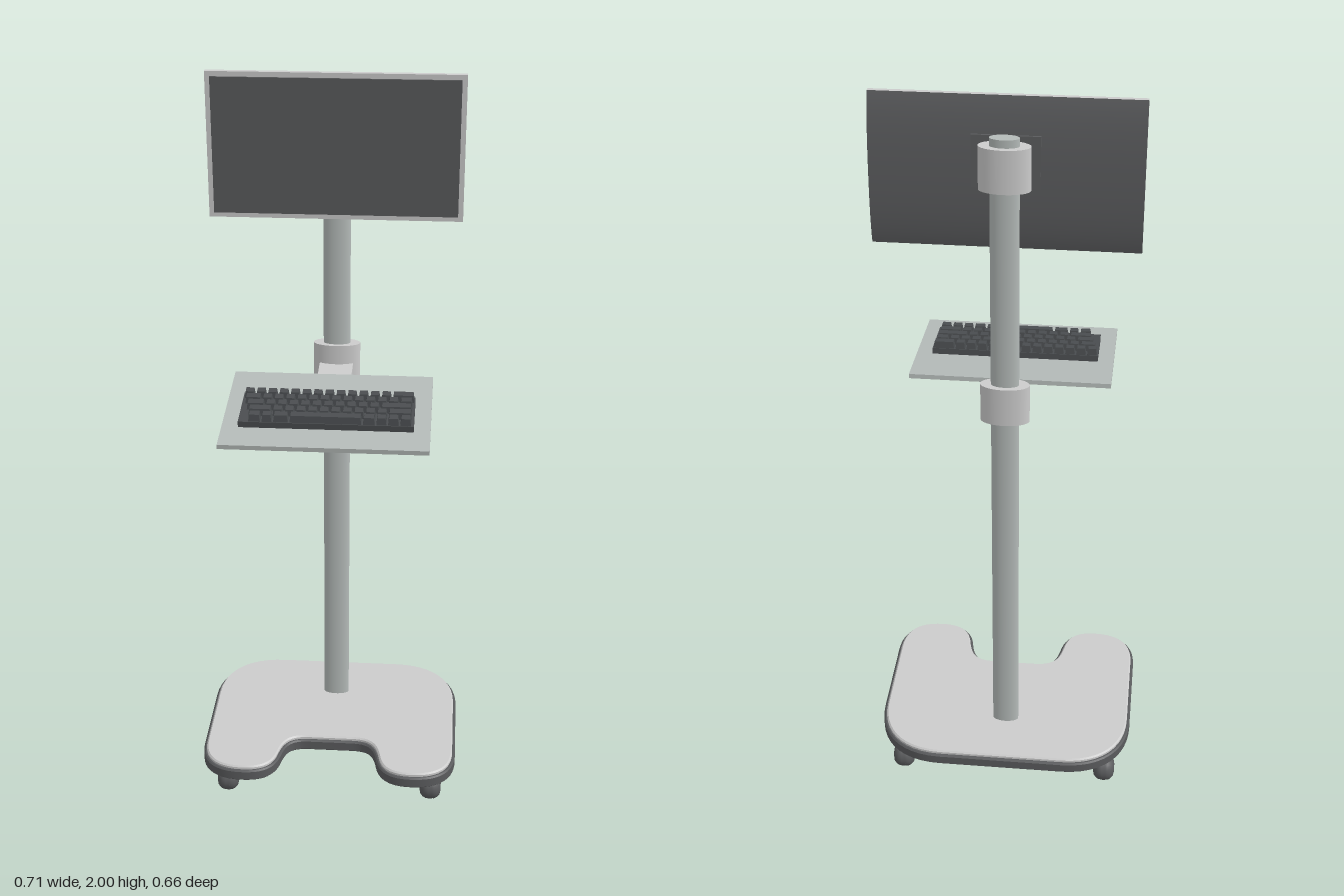
import * as THREE from 'three';
import { toCreasedNormals } from 'three/addons/utils/BufferGeometryUtils.js';

const mat = (color) => new THREE.MeshStandardMaterial({ color });
const light = mat(0xcccccc);
const metal = mat(0xb4bab8);
const dark = mat(0x5a5b5d);
const black = mat(0x4a4d50);

function add(parent, name, geometry, material, x = 0, y = 0, z = 0) {
  const mesh = new THREE.Mesh(geometry, material);
  mesh.name = name;
  mesh.position.set(x, y, z);
  parent.add(mesh);
  return mesh;
}

const box = (w, h, d) => new THREE.BoxGeometry(w, h, d);

// Upright cylinder with an oval section
const oval = (rx, rz, h) => new THREE.CylinderGeometry(1, 1, h, 48).scale(rx, 1, rz);

// Base outline with a front notch, drawn with y = -z
function baseOutline() {
  const s = new THREE.Shape();
  s.moveTo(-0.17, 0.33);
  s.bezierCurveTo(-0.29, 0.33, -0.355, 0.25, -0.355, 0.13);
  s.lineTo(-0.355, -0.12);
  s.bezierCurveTo(-0.355, -0.2, -0.32, -0.25, -0.235, -0.25);
  s.bezierCurveTo(-0.17, -0.25, -0.145, -0.22, -0.135, -0.17);
  s.bezierCurveTo(-0.125, -0.11, -0.11, -0.09, -0.06, -0.09);
  s.lineTo(0.06, -0.09);
  s.bezierCurveTo(0.11, -0.09, 0.125, -0.11, 0.135, -0.17);
  s.bezierCurveTo(0.145, -0.22, 0.17, -0.25, 0.235, -0.25);
  s.bezierCurveTo(0.32, -0.25, 0.355, -0.2, 0.355, -0.12);
  s.lineTo(0.355, 0.13);
  s.bezierCurveTo(0.355, 0.25, 0.29, 0.33, 0.17, 0.33);
  s.closePath();
  return s;
}

// Horizontal slab of the base between two heights, inset from the outline
function slab(y0, y1, inset) {
  const bevel = 0.004;
  const g = new THREE.ExtrudeGeometry(baseOutline(), {
    depth: y1 - y0 - 2 * bevel, curveSegments: 12,
    bevelThickness: bevel, bevelSize: bevel, bevelOffset: -inset - bevel, bevelSegments: 1,
  });
  g.rotateX(-Math.PI / 2).translate(0, y0 + bevel, 0);
  return toCreasedNormals(g, 0.5);
}

// Twin-wheel caster with stem
function caster(x, z) {
  const g = new THREE.Group();
  g.name = 'caster';
  const profile = [[0.036, 0.005], [0.036, 0.012], [0.032, 0.02], [0.024, 0.027], [0.012, 0.03], [0, 0.03]]
    .map(([r, a]) => new THREE.Vector2(r, a));
  for (const side of [-1, 1]) {
    const wheel = add(g, 'casterWheel', new THREE.LatheGeometry(profile, 28), dark, 0, 0.037, 0);
    wheel.material = dark;
    wheel.rotation.z = -side * Math.PI / 2;
  }
  const hood = new THREE.CylinderGeometry(0.037, 0.037, 0.012, 28).rotateZ(Math.PI / 2);
  add(g, 'casterHood', hood, dark, 0, 0.037, 0);
  add(g, 'casterStem', new THREE.CylinderGeometry(0.006, 0.006, 0.045, 14), dark, 0, 0.0875, 0);
  g.position.set(x, 0, z);
  return g;
}

// Keyboard: tapered keycaps in rows on a thin case
function keyboard() {
  const g = new THREE.Group();
  g.name = 'keyboard';
  add(g, 'keyboardCase', box(0.442, 0.016, 0.15), black, 0, 0.008, 0);
  const ones = (n) => Array(n).fill(1);
  const u = 0.0293, pitch = 0.0298;
  const rows = [
    [-0.2195, [...ones(13), 2]],
    [-0.2145, [1.5, ...ones(12), 1.2]],
    [-0.2075, [1.65, ...ones(10), 2.8]],
    [-0.2, [2.1, ...ones(10), 2.1]],
    [-0.197, [1.15, 1, 1.4, 6.3, 1.15, 1, 1.05, 1.05]],
  ];
  rows.forEach(([start, widths], r) => {
    let x = start;
    for (const n of widths) {
      const w = n * u, h = 0.018;
      const key = box(w - 0.004, h, 0.026);
      const p = key.attributes.position;
      for (let i = 0; i < p.count; i++) {
        if (p.getY(i) > 0) {
          p.setX(i, p.getX(i) - Math.sign(p.getX(i)) * 0.0025);
          p.setZ(i, p.getZ(i) * 0.82 - 0.001);
        }
      }
      key.computeVertexNormals();
      add(g, 'key', key, black, x + w / 2, 0.016 + h / 2, (r - 2) * pitch);
      x += w;
    }
  });
  return g;
}

// Monitor: bezel, screen and a bowed back shell
function monitor() {
  const g = new THREE.Group();
  g.name = 'monitor';
  add(g, 'monitorFrame', box(0.656, 0.38, 0.014), light, 0, 0, -0.009);
  add(g, 'screen', box(0.63, 0.354, 0.005), dark, 0, 0, 0);
  const s = new THREE.Shape();
  s.moveTo(0, -0.19);
  s.bezierCurveTo(0.016, -0.14, 0.02, -0.07, 0.02, 0);
  s.bezierCurveTo(0.02, 0.07, 0.016, 0.14, 0, 0.19);
  s.closePath();
  const back = new THREE.ExtrudeGeometry(s, { depth: 0.656, bevelEnabled: false, curveSegments: 12 });
  back.rotateY(Math.PI / 2); // profile x becomes -z, depth becomes x
  add(g, 'monitorBack', toCreasedNormals(back, 0.5), dark, -0.328, 0, -0.016);
  add(g, 'mountPlate', box(0.165, 0.13, 0.008), dark, 0, 0.035, -0.034);
  g.position.set(0, 1.81, -0.097);
  g.rotation.x = 0.047;
  return g;
}

export function createModel() {
  const model = new THREE.Group();
  model.name = 'mobileWorkstation';

  // Base and casters
  add(model, 'basePlate', slab(0.1, 0.114, 0.012), dark);
  add(model, 'baseRim', slab(0.108, 0.14, 0), dark);
  add(model, 'baseTop', slab(0.13, 0.15, 0.008), light);
  for (const x of [-0.288, 0.288]) for (const z of [0.135, -0.22]) model.add(caster(x, z));

  // Oval pole and sliding collars
  const poleZ = -0.162;
  add(model, 'pole', oval(0.036, 0.018, 1.78), metal, 0, 1.03, poleZ);
  add(model, 'trayCollar', oval(0.063, 0.031, 0.105), light, 0, 1.208, poleZ);
  add(model, 'monitorCollar', oval(0.063, 0.031, 0.11), light, 0, 1.845, poleZ);
  add(model, 'monitorBracket', box(0.09, 0.08, 0.03), light, 0, 1.845, -0.14);
  model.add(monitor());

  // Sloping tray with its arm and keyboard
  const tray = new THREE.Group();
  tray.name = 'tray';
  tray.position.set(0, 1.184, 0.1365);
  tray.rotation.x = 0.112;
  add(tray, 'trayBoard', box(0.526, 0.012, 0.381), metal);
  add(tray, 'trayArm', box(0.09, 0.016, 0.225), light, 0, -0.014, -0.168);
  const keys = keyboard();
  keys.position.set(0, 0.006, 0.026);
  tray.add(keys);
  model.add(tray);

  return model;
}
